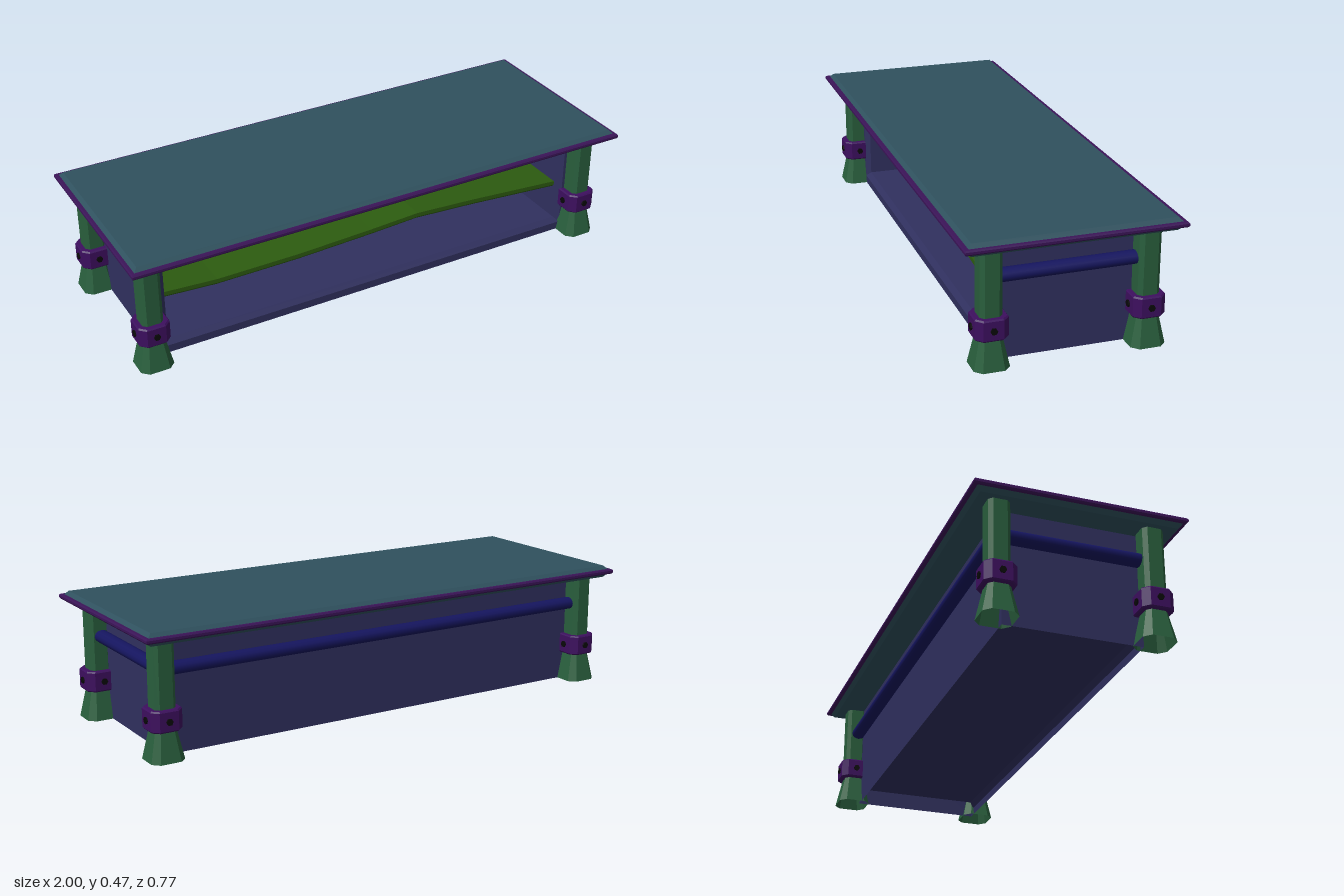
import * as THREE from 'three';

const material = (color, extra) => new THREE.MeshStandardMaterial({ color, flatShading: true, ...extra });
const OPEN = { side: THREE.DoubleSide };
const MATS = {
  top: material(0x2f515e), trim: material(0x3b1458), leg: material(0x295f3d, OPEN), collar: material(0x3d0f5f),
  body: material(0x30305f, OPEN), rail: material(0x15155f, { flatShading: false }),
  shelf: material(0x2d5c10), bolt: material(0x080808),
};

// Skins a row of equal-sized rings (arrays of [x, y, z]); the last ring is capped, the first on request.
function loft(rings, capFirst = true) {
  const pos = [];
  const n = rings[0].length;
  const tri = (a, b, c) => pos.push(...a, ...b, ...c);
  for (let r = 0; r < rings.length - 1; r++) {
    for (let i = 0; i < n; i++) {
      const j = (i + 1) % n;
      const [a, b, c, d] = [rings[r][i], rings[r + 1][i], rings[r + 1][j], rings[r][j]];
      tri(a, b, c);
      tri(a, c, d);
    }
  }
  const first = rings[0], last = rings[rings.length - 1];
  for (let i = 1; i < n - 1; i++) {
    if (capFirst) tri(first[0], first[i], first[i + 1]);
    tri(last[0], last[i + 1], last[i]);
  }
  const g = new THREE.BufferGeometry();
  g.setAttribute('position', new THREE.Float32BufferAttribute(pos, 3));
  g.computeVertexNormals();
  return g;
}

// Horizontal rings: a plain rectangle, and a square with cut corners.
const rect = (y, hx, hz) => [[hx, y, -hz], [hx, y, hz], [-hx, y, hz], [-hx, y, -hz]];
const octagon = (y, h, c) => [[h, y, -c], [h, y, c], [c, y, h], [-c, y, h],
  [-h, y, c], [-h, y, -c], [-c, y, -h], [c, y, -h]];
// Upright rectangle facing z.
const upright = (z, hx, y0, y1) => [[hx, y1, z], [hx, y0, z], [-hx, y0, z], [-hx, y1, z]];

function add(parent, name, geometry, mat) {
  const mesh = new THREE.Mesh(geometry, mat);
  mesh.name = name;
  parent.add(mesh);
  return mesh;
}

export function createModel() {
  const group = new THREE.Group();
  group.name = 'lowTable';

  // Bevelled tabletop with a trim band round its edge
  add(group, 'tabletop', loft([
    rect(0.421, 0.973, 0.354), rect(0.437, 0.988, 0.369),
    rect(0.452, 0.988, 0.369), rect(0.467, 0.973, 0.354),
  ]), MATS.top);
  add(group, 'edgeTrim', loft([
    rect(0.436, 0.985, 0.366), rect(0.436, 0.996, 0.379), rect(0.441, 1, 0.383),
    rect(0.449, 1, 0.383), rect(0.454, 0.996, 0.379), rect(0.454, 0.985, 0.366),
  ]), MATS.trim);

  // Cabinet: front frame and cavity in one skin, inside walls that are open underneath
  add(group, 'cabinetFront', loft([
    upright(0.25, 0.88, 0, 0.425),
    upright(0.25, 0.856, 0.03, 0.395), upright(0.232, 0.838, 0.048, 0.38),
    upright(-0.24, 0.838, 0.048, 0.38),
  ], false), MATS.body);
  const back = new THREE.PlaneGeometry(1.76, 0.425).rotateY(Math.PI);
  add(group, 'cabinetBack', back, MATS.body).position.set(0, 0.2125, -0.25);
  for (const side of [-1, 1]) {
    const wall = new THREE.PlaneGeometry(0.5, 0.425).rotateY(side * Math.PI / 2);
    add(group, 'cabinetSide', wall, MATS.body).position.set(side * 0.88, 0.2125, 0);
  }

  // Wavy shelf with a bevelled lower front edge
  const wave = [
    [-0.838, 0.238], [-0.63, 0.225], [-0.3, 0.227], [0, 0.239], [0.2, 0.25], [0.45, 0.236], [0.838, 0.207],
  ];
  add(group, 'shelf', loft(wave.map(([x, y]) => [
    [x, y, 0.22], [x, y, -0.24], [x, y - 0.025, -0.24],
    [x, y - 0.025, 0.212], [x, y - 0.016, 0.22],
  ])), MATS.shelf);

  // Hollow legs with flared feet, collars and a bolt on each collar face
  const legGeo = loft([octagon(0, 0.0625, 0.038), octagon(0.112, 0.039, 0.025), octagon(0.425, 0.039, 0.025)], false);
  const collarGeo = loft([
    octagon(0.108, 0.054, 0.032), octagon(0.113, 0.058, 0.035),
    octagon(0.18, 0.058, 0.035), octagon(0.185, 0.054, 0.032),
  ]);
  const boltGeo = new THREE.CylinderGeometry(0.0125, 0.0125, 0.02, 6);
  boltGeo.rotateZ(Math.PI / 2).translate(0.054, 0.146, 0);
  for (const x of [-0.913, 0.906]) {
    for (const z of [-0.277, 0.275]) {
      const leg = new THREE.Group();
      leg.name = (z > 0 ? 'front' : 'back') + (x > 0 ? 'Left' : 'Right') + 'Leg';
      leg.position.set(x, 0, z);
      add(leg, 'post', legGeo, MATS.leg);
      add(leg, 'collar', collarGeo, MATS.collar);
      for (let i = 0; i < 4; i++) add(leg, 'bolt', boltGeo, MATS.bolt).rotation.y = i * Math.PI / 2;
      group.add(leg);
    }
  }

  // Rails between the legs along the back and both ends
  const railGeo = (length) => new THREE.CylinderGeometry(0.0235, 0.0235, length, 12)
    .rotateZ(Math.PI / 2).scale(1, 1, 1.2);
  add(group, 'backRail', railGeo(1.8), MATS.rail).position.set(0, 0.312, -0.27);
  for (const x of [-0.903, 0.9]) {
    const rail = add(group, 'endRail', railGeo(0.54), MATS.rail);
    rail.position.set(x, 0.312, 0);
    rail.rotation.y = Math.PI / 2;
  }
  return group;
}
